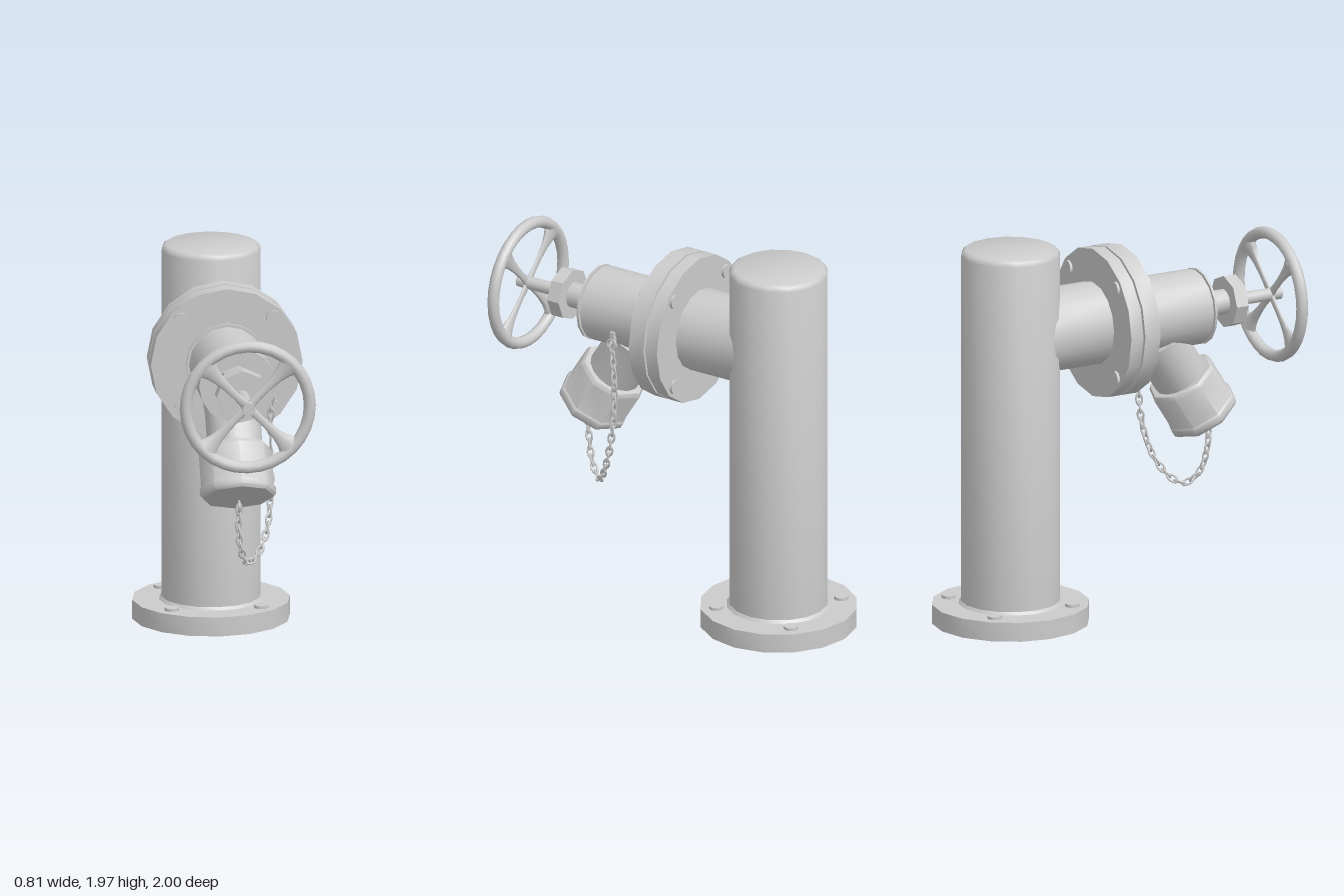
import * as THREE from 'three';
import { toCreasedNormals } from 'three/addons/utils/BufferGeometryUtils.js';

const AXIS_Y = 1.51; // height of the valve axis
const COLUMN_Z = -0.595;

const grey = new THREE.MeshStandardMaterial({ color: 0xcccccc });
const greyOpen = new THREE.MeshStandardMaterial({ color: 0xcccccc, side: THREE.DoubleSide });

function add(parent, name, geometry, material = grey) {
  const mesh = new THREE.Mesh(geometry, material);
  mesh.name = name;
  parent.add(mesh);
  return mesh;
}

// Turned part: profile of [radius, height] from bottom to top
function turned(profile, sides = 16, crease = 0.6) {
  const points = profile.map(([r, h]) => new THREE.Vector2(r, h));
  return toCreasedNormals(new THREE.LatheGeometry(points, sides), crease);
}

// Turned part lying along +z on the valve axis
function turnedZ(profile, sides, crease) {
  return turned(profile, sides, crease).rotateX(Math.PI / 2).translate(0, AXIS_Y, 0);
}

const disc = (r, a, b, bevel = 0) => bevel
  ? [[0, a], [r - bevel, a], [r, a + bevel], [r, b - bevel], [r - bevel, b], [0, b]]
  : [[0, a], [r, a], [r, b], [0, b]];

// Four bolts at 45 degrees, built around the y axis
function boltCircle(name, radius, from, to) {
  const group = new THREE.Group();
  group.name = name;
  for (let i = 0; i < 4; i++) {
    const a = Math.PI / 4 + i * Math.PI / 2;
    const bolt = add(group, 'bolt', turned(disc(0.037, from, to), 10, 0.7));
    bolt.position.set(radius * Math.cos(a), 0, radius * Math.sin(a));
  }
  return group;
}

function buildColumn() {
  const column = new THREE.Group();
  column.name = 'column';
  add(column, 'columnPipe', turned(
    [[0.255, 0.1], [0.255, 1.94], [0.247, 1.96], [0.23, 1.97], [0, 1.97]], 16, 0.9), greyOpen);
  add(column, 'baseFlange', turned(
    [[0.405, 0], [0.405, 0.1], [0.268, 0.1], [0.255, 0.115]]), greyOpen);
  column.add(boltCircle('baseBolts', 0.325, 0.085, 0.115));
  column.position.z = COLUMN_Z;
  return column;
}

function buildValve() {
  const valve = new THREE.Group();
  valve.name = 'valve';
  add(valve, 'sidePipe', turnedZ(disc(0.215, -0.52, -0.09)));
  add(valve, 'rearFlange', turnedZ(disc(0.39, -0.108, -0.036)));
  add(valve, 'frontFlange', turnedZ(disc(0.39, -0.025, 0.065)));
  add(valve, 'flangeGasket', turnedZ(disc(0.3, -0.04, -0.02)));
  add(valve, 'bodyCollar', turnedZ(disc(0.21, 0.06, 0.08)));

  const bolts = boltCircle('flangeBolts', 0.335, -0.122, 0.08);
  bolts.rotation.x = Math.PI / 2;
  bolts.position.y = AXIS_Y;
  valve.add(bolts);

  // Body with a narrow groove behind its end plate
  add(valve, 'valveBody', turnedZ([[0, 0.05], [0.195, 0.05], [0.195, 0.494],
    [0.18, 0.494], [0.18, 0.505], [0.197, 0.505], [0.197, 0.517], [0, 0.517]]));
  add(valve, 'bonnetNut', turnedZ(disc(0.105, 0.51, 0.57), 8));
  add(valve, 'bonnetNeck', turnedZ(disc(0.066, 0.56, 0.68), 12));
  add(valve, 'glandNut', turnedZ(disc(0.135, 0.668, 0.738), 8));
  add(valve, 'stem', turnedZ(disc(0.033, 0.73, 1.0), 12));
  return valve;
}

function buildHandwheel() {
  const wheel = new THREE.Group();
  wheel.name = 'handwheel';
  add(wheel, 'wheelRim', new THREE.TorusGeometry(0.319, 0.031, 10, 32));
  // Flattened spokes that flare where they meet the rim
  const spoke = turned([[0.026, 0], [0.02, 0.08], [0.022, 0.15], [0.03, 0.215],
    [0.043, 0.26], [0.066, 0.305]], 10, 1).scale(1, 1, 0.45);
  for (let i = 0; i < 4; i++) {
    add(wheel, 'spoke', spoke).rotation.z = Math.PI / 4 + i * Math.PI / 2;
  }
  wheel.position.set(0, AXIS_Y, 0.945);
  return wheel;
}

// Slanted outlet with its screw cap; local +y runs up into the body
function buildOutlet() {
  const outlet = new THREE.Group();
  outlet.name = 'outlet';
  add(outlet, 'outletNeck', turned([[0, 0.2], [0.142, 0.2], [0.142, 0.45], [0.15, 0.53], [0, 0.53]]));
  add(outlet, 'outletCap', turned([[0, 0], [0.183, 0], [0.196, 0.016], [0.196, 0.05],
    [0.188, 0.058], [0.188, 0.245], [0.175, 0.265], [0, 0.265]], 8, 0.85));
  outlet.position.set(0, 0.93, 0.552);
  outlet.rotation.x = -0.57;
  return outlet;
}

function buildChain() {
  const chain = new THREE.Group();
  chain.name = 'capChain';
  const path = new THREE.CatmullRomCurve3([
    [0.2, 1.38, 0.295], [0.2, 1.1, 0.28], [0.195, 0.85, 0.305], [0.165, 0.68, 0.36],
    [0.11, 0.585, 0.425], [0.06, 0.565, 0.475], [0.02, 0.63, 0.54], [0, 0.75, 0.57],
    [0, 0.875, 0.582],
  ].map((p) => new THREE.Vector3(...p)));

  // Links alternate by a quarter turn along the path
  const link = new THREE.TorusGeometry(0.016, 0.0055, 6, 10).scale(1, 1.75, 1);
  const up = new THREE.Vector3(0, 1, 0);
  const count = Math.round(path.getLength() / 0.043);
  for (let i = 0; i <= count; i++) {
    const mesh = add(chain, 'chainLink', link);
    mesh.position.copy(path.getPointAt(i / count));
    mesh.quaternion.setFromUnitVectors(up, path.getTangentAt(i / count));
    mesh.rotateY((i % 2) * Math.PI / 2 + 0.3);
  }

  // End rings and the lug on the body
  const ring = new THREE.TorusGeometry(0.027, 0.006, 6, 14).rotateY(Math.PI / 2);
  add(chain, 'bodyRing', ring).position.set(0.2, 1.395, 0.297);
  add(chain, 'capRing', ring).position.set(0, 0.89, 0.582);
  const lug = add(chain, 'bodyLug', new THREE.BoxGeometry(0.03, 0.06, 0.024));
  lug.position.set(0.187, 1.432, 0.297);
  return chain;
}

export function createModel() {
  const model = new THREE.Group();
  model.name = 'standpipeValve';
  model.add(buildColumn(), buildValve(), buildHandwheel(), buildOutlet(), buildChain());
  return model;
}
